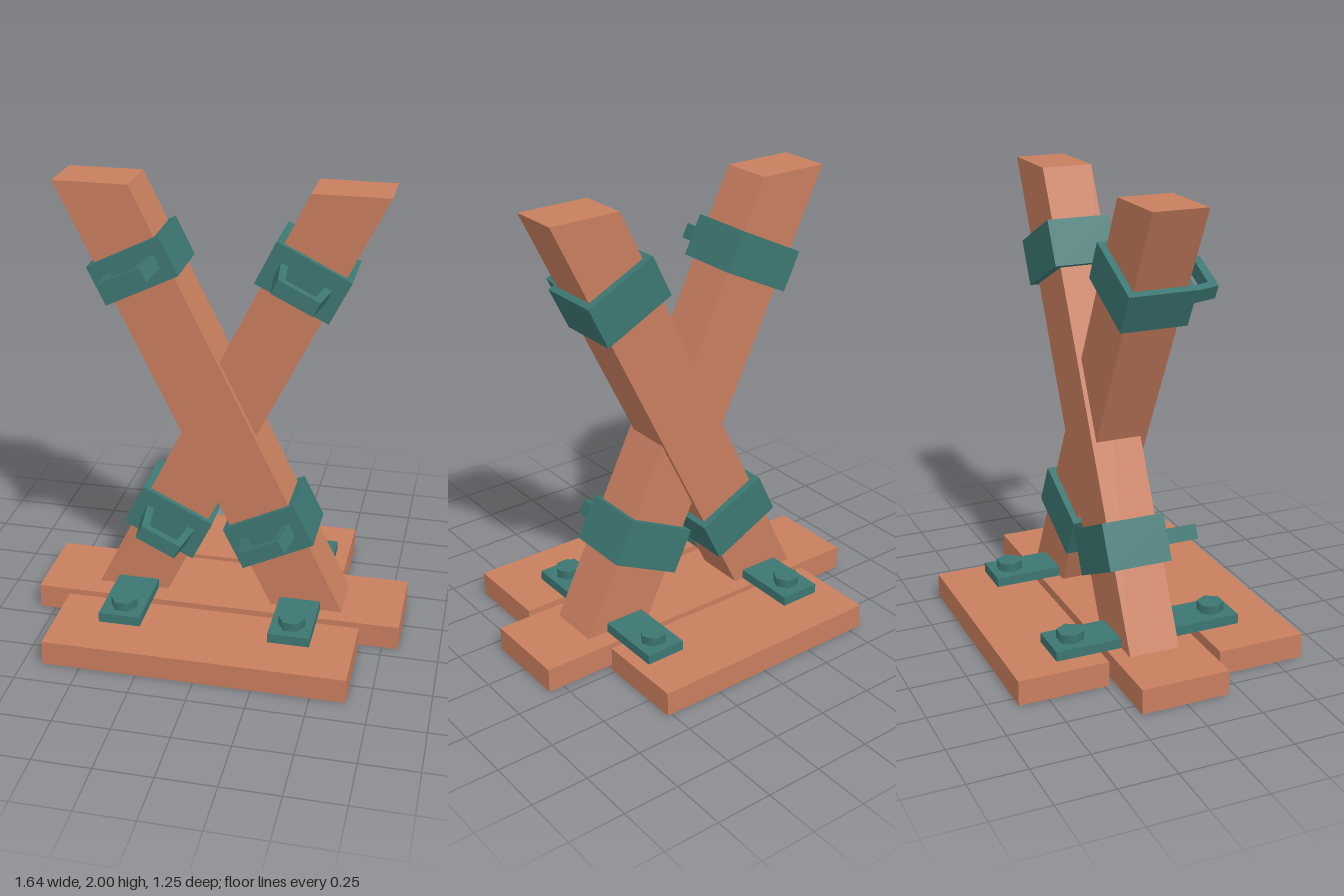
import * as THREE from 'three';

const wood = new THREE.MeshStandardMaterial({ color: 0xc87e5e });
wood.name = 'terracotta wood';
const iron = new THREE.MeshStandardMaterial({ color: 0x3c7672 });
iron.name = 'teal metal';

const BASE = 0.11; // top of the planks
const LEAN = Math.atan2(0.93, 1.89);

function add(parent, name, geometry, material, x = 0, y = 0, z = 0) {
  const mesh = new THREE.Mesh(geometry, material);
  mesh.name = name;
  mesh.position.set(x, y, z);
  parent.add(mesh);
  return mesh;
}

// Box given by its limits on each axis
function slab(parent, name, material, [x0, x1], [y0, y1], [z0, z1]) {
  return add(parent, name, new THREE.BoxGeometry(x1 - x0, y1 - y0, z1 - z0), material,
    (x0 + x1) / 2, (y0 + y1) / 2, (z0 + z1) / 2);
}

function extrude(points, depth) {
  const shape = new THREE.Shape(points.map(([x, y]) => new THREE.Vector2(x, y)));
  return new THREE.ExtrudeGeometry(shape, { depth, bevelEnabled: false });
}

// Leaning beam with level ends; side is the x sign of its foot
function beam(parent, name, side, z0, z1) {
  const points = [[0.24, BASE], [0.56, BASE], [-0.37, 2], [-0.69, 2]].map(([x, y]) => [x * side, y]);
  add(parent, name, extrude(points, z1 - z0), wood, 0, 0, z0);
}

// Metal band around a beam, with a tapered pull handle on its front
function clamp(parent, name, side, x, y, height, z0, z1) {
  const group = new THREE.Group();
  group.name = name;
  group.position.set(x, y, 0);
  group.rotation.z = side * LEAN;
  slab(group, 'band', iron, [-0.173, 0.173], [-height / 2, height / 2], [z0, z1]);

  const reach = 0.29 - z1, h = 0.066;
  const outline = [
    [-0.118, 0], [-0.085, 0], [-0.068, reach - 0.036], [0.068, reach - 0.036],
    [0.085, 0], [0.118, 0], [0.095, reach], [-0.095, reach],
  ];
  const handle = add(group, 'handle', extrude(outline, h), iron, 0, h / 2, z1);
  handle.rotation.x = Math.PI / 2; // outline points forward
  parent.add(group);
}

export function createModel() {
  const model = new THREE.Group();
  model.name = 'crossBarrier';

  // Base planks
  slab(model, 'backPlank', wood, [-0.56, 0.52], [0, BASE], [-0.63, -0.23]);
  slab(model, 'middlePlank', wood, [-0.82, 0.82], [0, BASE], [-0.2, 0.19]);
  slab(model, 'frontPlank', wood, [-0.665, 0.65], [0, BASE], [0.23, 0.625]);

  // Crossed beams
  beam(model, 'frontBeam', 1, -0.115, 0.12);
  beam(model, 'rearBeam', -1, -0.135, 0.09);

  // Clamps on both beams
  clamp(model, 'upperRightClamp', 1, -0.355, 1.643, 0.182, -0.145, 0.147);
  clamp(model, 'lowerLeftClamp', 1, 0.227, 0.464, 0.204, -0.145, 0.147);
  clamp(model, 'upperLeftClamp', -1, 0.349, 1.634, 0.204, -0.168, 0.115);
  clamp(model, 'lowerRightClamp', -1, -0.23, 0.465, 0.204, -0.168, 0.115);

  // Foot plates with hexagonal bolts, in front of and behind each beam
  for (const [x0, x1] of [[-0.47, -0.285], [0.28, 0.462]]) {
    for (const s of [-1, 1]) {
      const end = s < 0 && x0 < 0 ? 0.428 : 0.42;
      slab(model, 'footPlate', iron, [x0, x1], [BASE, 0.153], s < 0 ? [-end, -0.08] : [0.08, end]);
      const bolt = add(model, 'bolt', new THREE.CylinderGeometry(0.059, 0.059, 0.04, 6), iron,
        (x0 + x1) / 2, 0.172, s * 0.33);
      bolt.rotation.y = Math.PI / 6;
    }
  }
  return model;
}
